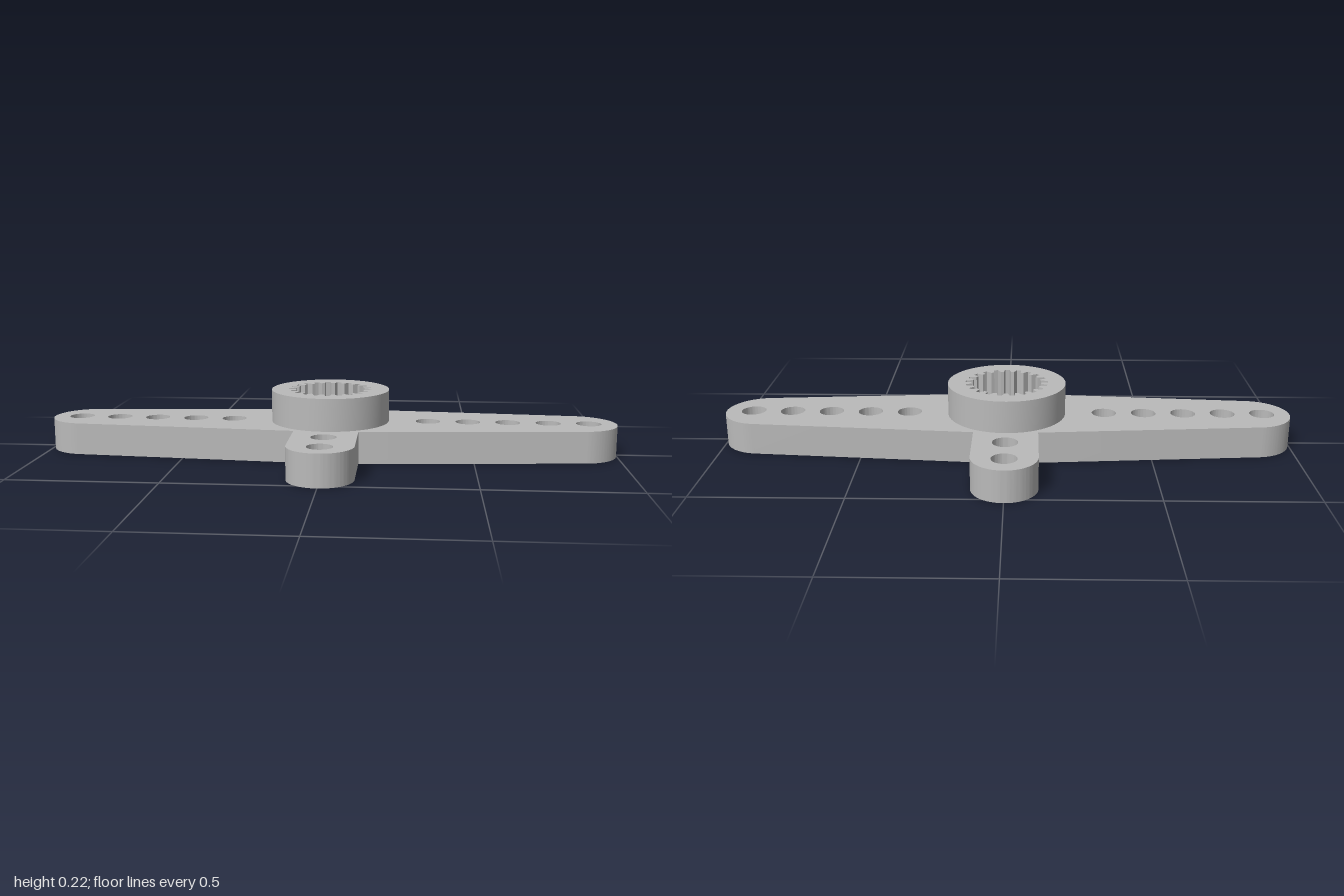
import * as THREE from 'three';
import { mergeGeometries, toCreasedNormals } from 'three/addons/utils/BufferGeometryUtils.js';

const PLATE_TOP = 0.11, HUB_TOP = 0.222, SOCKET_FLOOR = 0.04;
const SEGMENTS = 40;

const circle = (x, y, r) => new THREE.Shape().absarc(x, y, r, 0, Math.PI * 2, false);

// Cross-shaped outline: two tapered long arms and two short straight arms
function armOutline() {
  const a = 1.49;
  const s = new THREE.Shape();
  s.absarc(0.863, 0, 0.137, -a, a, false);
  s.lineTo(0.11, 0.2);
  s.absarc(0, 0.416, 0.11, 0, Math.PI, false);
  s.lineTo(-0.11, 0.2);
  s.absarc(-0.863, 0, 0.137, Math.PI - a, Math.PI + a, false);
  s.lineTo(-0.11, -0.2);
  s.absarc(0, -0.416, 0.11, Math.PI, Math.PI * 2, false);
  s.lineTo(0.11, -0.2);
  s.closePath();
  return s;
}

// Toothed socket outline
function splineOutline(teeth = 21, inner = 0.122, outer = 0.145) {
  const pts = [];
  const step = (Math.PI * 2) / teeth;
  for (let i = 0; i < teeth; i++) {
    const mid = Math.PI / 2 + i * step;
    for (const [f, r] of [[-0.32, outer], [-0.16, inner], [0.16, inner], [0.32, outer]]) {
      pts.push(new THREE.Vector2(Math.cos(mid + f * step) * r, Math.sin(mid + f * step) * r));
    }
  }
  return new THREE.Shape(pts);
}

// Upright wall along a counter-clockwise outline
function wall(shape, y0, y1, inward = false) {
  let pts = shape.getPoints(SEGMENTS);
  pts = pts.filter((p, i) => p.distanceTo(pts[(i + 1) % pts.length]) > 1e-5);
  if (inward) pts.reverse();
  const pos = [];
  pts.forEach((a, i) => {
    const b = pts[(i + 1) % pts.length];
    pos.push(a.x, y0, -a.y, b.x, y0, -b.y, b.x, y1, -b.y);
    pos.push(a.x, y0, -a.y, b.x, y1, -b.y, a.x, y1, -a.y);
  });
  const g = new THREE.BufferGeometry();
  g.setAttribute('position', new THREE.Float32BufferAttribute(pos, 3));
  return toCreasedNormals(g, 0.45);
}

// Flat face with holes, looking up or down
function cap(shape, holes, y, up = true) {
  const s = shape.clone();
  s.holes = holes;
  const g = new THREE.ShapeGeometry(s, SEGMENTS).toNonIndexed();
  g.deleteAttribute('uv');
  return g.rotateX(up ? -Math.PI / 2 : Math.PI / 2).translate(0, y, 0);
}

export function createModel() {
  const group = new THREE.Group();
  const grey = new THREE.MeshStandardMaterial({ color: 0xbababa });
  grey.name = 'grey plastic';
  const add = (name, parts) => {
    const mesh = new THREE.Mesh(mergeGeometries(parts), grey);
    mesh.name = name;
    group.add(mesh);
  };

  const outline = armOutline();
  const hub = circle(0, 0, 0.207);
  const bore = circle(0, 0, 0.07);
  const spline = splineOutline();

  // Rows of link holes along each arm
  const holes = [];
  for (const side of [-1, 1]) {
    for (let i = 0; i < 5; i++) holes.push(circle(side * (0.345 + i * 0.1395), 0, 0.043));
    for (let i = 0; i < 2; i++) holes.push(circle(0, side * (0.29 + i * 0.14), 0.043));
  }

  add('armPlate', [
    cap(outline, [...holes, bore], 0, false),
    cap(outline, [...holes, hub], PLATE_TOP),
    wall(outline, 0, PLATE_TOP),
  ]);
  add('linkHoles', holes.map((h) => wall(h, 0, PLATE_TOP, true)));
  add('hub', [wall(hub, PLATE_TOP, HUB_TOP), cap(hub, [spline], HUB_TOP)]);
  add('splineSocket', [wall(spline, SOCKET_FLOOR, HUB_TOP, true), cap(spline, [bore], SOCKET_FLOOR)]);
  add('screwBore', [wall(bore, 0, SOCKET_FLOOR, true)]);
  return group;
}
